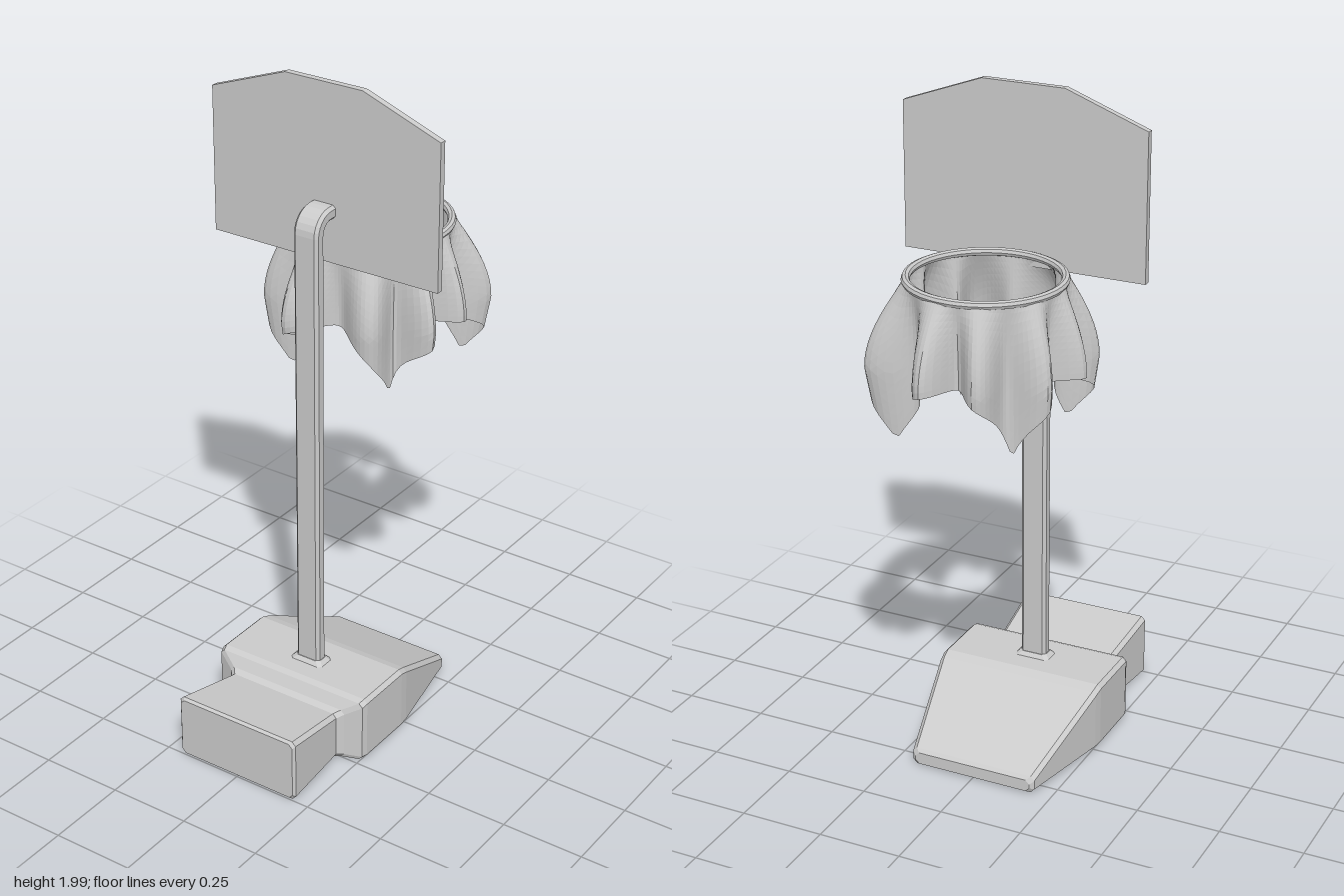
import * as THREE from 'three';

const V = (x, y, z) => new THREE.Vector3(x, y, z);
const material = new THREE.MeshStandardMaterial({ color: 0xcccccc, flatShading: true });

function part(name, geometry, mat = material) {
  const flat = geometry.index ? geometry.toNonIndexed() : geometry;
  flat.computeVertexNormals();
  const mesh = new THREE.Mesh(flat, mat);
  mesh.name = name;
  return mesh;
}

// Chamfered rectangle, counter-clockwise, as [a, b] pairs
function chamferRect(w, h, c) {
  return [[w, -h + c], [w, h - c], [w - c, h], [-w + c, h],
    [-w, h - c], [-w, -h + c], [-w + c, -h], [w - c, -h]];
}

// Skin a list of equal-sized rings; closed rings get flat end caps when asked
function loft(rings, capped = true) {
  const n = rings[0].length, positions = [], index = [];
  rings.forEach((ring) => ring.forEach((p) => positions.push(p.x, p.y, p.z)));
  for (let i = 0; i < rings.length - 1; i++) {
    for (let j = 0; j < n; j++) {
      const a = i * n + j, b = i * n + (j + 1) % n;
      index.push(a, b, b + n, a, b + n, a + n);
    }
  }
  if (capped) {
    const last = (rings.length - 1) * n;
    for (let j = 1; j < n - 1; j++) {
      index.push(0, j + 1, j, last, last + j, last + j + 1);
    }
  }
  const geometry = new THREE.BufferGeometry();
  geometry.setAttribute('position', new THREE.Float32BufferAttribute(positions, 3));
  geometry.setIndex(index);
  return geometry;
}

// Weighted base: sloping rear, tall middle, flared step and narrower front block
function makeBase() {
  const sections = [ // z, half width, bottom, top
    [-0.305, 0.185, 0.012, 0.048], [-0.295, 0.197, 0.006, 0.058],
    [0, 0.257, 0.006, 0.2], [0.03, 0.26, 0.006, 0.21],
    [0.212, 0.26, 0.006, 0.21], [0.23, 0.255, 0.006, 0.203],
    [0.25, 0.205, 0.008, 0.172], [0.268, 0.189, 0.012, 0.163],
    [0.492, 0.205, 0.006, 0.205], [0.5, 0.198, 0.012, 0.198],
  ];
  return part('base', loft(sections.map(([z, w, y0, y1]) =>
    chamferRect(w, (y1 - y0) / 2, 0.012).map(([a, b]) => V(a, (y0 + y1) / 2 + b, z)))));
}

// Flat post that bends back into the board
function makePole() {
  const outline = chamferRect(0.04, 0.02, 0.009);
  const bend = 0.05, cy = 1.583, cz = 0.075;
  const ringAt = (y, z, t) => outline.map(([a, b]) =>
    V(a, y - b * Math.sin(t), z - b * Math.cos(t)));
  const rings = [ringAt(0.2, cz + bend, 0)];
  for (let i = 0; i <= 6; i++) {
    const t = (i / 6) * Math.PI / 2;
    rings.push(ringAt(cy + bend * Math.sin(t), cz + bend * Math.cos(t), t));
  }
  rings.push(ringAt(cy + bend, 0.05, Math.PI / 2));
  return part('pole', loft(rings));
}

// Sloped collar where the post meets the base
function makeCollar() {
  const ring = (w, d, y) => chamferRect(w, d, 0.01).map(([a, b]) => V(a, y, 0.125 - b));
  return part('poleCollar', loft([ring(0.06, 0.036, 0.205), ring(0.042, 0.022, 0.222)]));
}

function makeBoard() {
  const shape = new THREE.Shape([
    [-0.37, 1.48], [0.37, 1.48], [0.37, 1.91], [0.125, 2], [-0.125, 2], [-0.37, 1.91],
  ].map(([x, y]) => new THREE.Vector2(x, y)));
  const geometry = new THREE.ExtrudeGeometry(shape, { depth: 0.02, bevelEnabled: false });
  return part('backboard', geometry.translate(0, 0, 0.035));
}

function makeHoop() {
  const geometry = new THREE.TorusGeometry(0.217, 0.0125, 8, 48).rotateX(Math.PI / 2);
  return part('hoop', geometry.translate(0, 1.518, -0.196));
}

// Square cloth hanging from the hoop: folds of uneven reach, four long corners
function makeNet() {
  const folds = [ // angle in degrees, reach of the fold
    [-111, 0.285], [-81, 0.31], [-34, 0.335], [-2, 0.3], [24, 0.31], [58, 0.29],
    [108, 0.325], [147, 0.315], [177, 0.295], [208, 0.29], [249, 0.285],
  ];
  const columns = 144, rows = 14, rings = [];
  const foldReach = (deg) => {
    let i = 0;
    while (i < folds.length - 2 && deg >= folds[i + 1][0]) i++;
    const [a0, r0] = folds[i], [a1, r1] = folds[i + 1];
    const u = (deg - a0) / (a1 - a0);
    const valley = 0.21;
    const crest = THREE.MathUtils.lerp(r0, r1, u) - valley;
    return valley + crest * (0.5 + 0.5 * Math.cos(u * Math.PI * 2));
  };
  for (let k = 0; k <= rows; k++) {
    const ring = [];
    for (let j = 0; j < columns; j++) {
      const deg = -111 + (j / columns) * 360, angle = THREE.MathUtils.degToRad(deg);
      const c = Math.cos(angle), s = Math.sin(angle);
      const length = 0.48 / Math.max(Math.abs(c), Math.abs(s)) - 0.222;
      const drop = length * (k / rows) * 0.975;
      // folds open out towards mid height, then the corners tuck back in
      const open = drop < 0.25 ? Math.sin((drop / 0.25) * Math.PI / 2) : 1 - (drop - 0.25) * 1.6;
      const r = 0.222 + (foldReach(deg) - 0.222) * open;
      ring.push(V(r * c, 1.524 - drop, r * s - 0.196));
    }
    rings.push(ring);
  }
  const cloth = material.clone();
  cloth.side = THREE.DoubleSide;
  return part('net', loft(rings, false), cloth);
}

export function createModel() {
  const model = new THREE.Group();
  model.name = 'basketballHoop';
  model.add(makeBase(), makePole(), makeCollar(), makeBoard(), makeHoop(), makeNet());
  return model;
}
